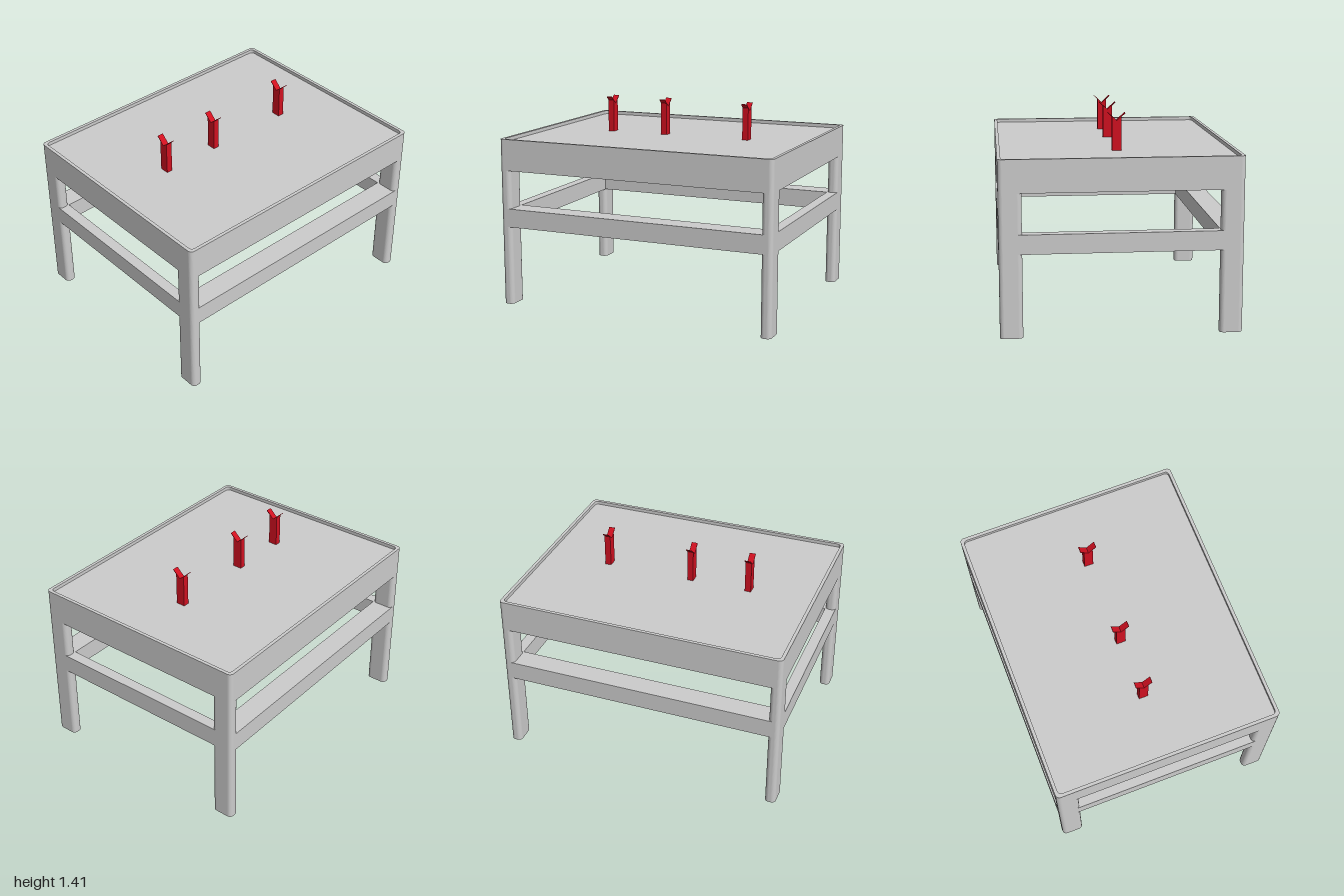
import * as THREE from 'three';

const W = 2, D = 1.6;             // outer footprint
const LEG_X = 0.075, LEG_Z = 0.152;
const R = 0.03;                   // corner radius shared by legs, rails and top

const grey = new THREE.MeshStandardMaterial({ color: 0xcccccc });
const red = new THREE.MeshStandardMaterial({ color: 0xd01020 });

// Rounded rectangle centred on the origin
function roundedRect(w, d, r, Type = THREE.Shape) {
  const s = new Type(), x = w / 2, y = d / 2;
  s.moveTo(x, -y + r);
  s.lineTo(x, y - r).absarc(x - r, y - r, r, 0, Math.PI / 2);
  s.lineTo(-x + r, y).absarc(-x + r, y - r, r, Math.PI / 2, Math.PI);
  s.lineTo(-x, -y + r).absarc(-x + r, -y + r, r, Math.PI, Math.PI * 1.5);
  s.lineTo(x - r, -y).absarc(x - r, -y + r, r, Math.PI * 1.5, Math.PI * 2);
  return s;
}

// Plan outline raised from y0 to y1
function slab(name, shape, y0, y1) {
  const g = new THREE.ExtrudeGeometry(shape, { depth: y1 - y0, bevelEnabled: false, curveSegments: 8 });
  g.rotateX(-Math.PI / 2);
  g.translate(0, y0, 0);
  const m = new THREE.Mesh(g, grey);
  m.name = name;
  return m;
}

// Upright post with a notched head holding two thin flared plates
function createHolder(x) {
  const g = new THREE.Group();
  g.name = 'holder';
  const width = 0.043, y0 = 1.155, yV = 1.355;
  const extrude = (points) => {
    const geo = new THREE.ExtrudeGeometry(
      new THREE.Shape(points.map(([a, b]) => new THREE.Vector2(a, b))),
      { depth: width, bevelEnabled: false });
    geo.translate(0, 0, -width / 2);
    geo.rotateY(-Math.PI / 2);    // profile x becomes z
    return geo;
  };
  const post = new THREE.Mesh(extrude(
    [[-0.032, y0], [0.032, y0], [0.032, yV + 0.03], [0, yV], [-0.032, yV + 0.03]]), red);
  post.name = 'holderPost';
  const plates = new THREE.Mesh(extrude(
    [[0, yV - 0.003], [0.058, yV + 0.052], [0.056, yV + 0.056], [0, yV + 0.003],
      [-0.056, yV + 0.056], [-0.058, yV + 0.052]]), red);
  plates.name = 'holderFork';
  g.add(post, plates);
  g.position.set(x, 0, -0.01);
  return g;
}

export function createModel() {
  const model = new THREE.Group();
  model.name = 'table';

  // Thick top with a shallow tray rim
  model.add(slab('tableTop', roundedRect(W, D, R), 0.96, 1.155));
  const rim = roundedRect(W, D, R);
  rim.holes.push(roundedRect(W - 0.046, D - 0.046, 0.025, THREE.Path));
  model.add(slab('topRim', rim, 1.155, 1.18));

  // Lower rail frame
  const rails = roundedRect(W, D, R);
  const hx = W / 2 - LEG_X, hz = D / 2 - LEG_Z;
  rails.holes.push(new THREE.Path([[-hx, -hz], [-hx, hz], [hx, hz], [hx, -hz]]
    .map(([a, b]) => new THREE.Vector2(a, b))));
  model.add(slab('lowerRails', rails, 0.56, 0.69));

  // Four rounded legs
  for (const sx of [-1, 1]) for (const sz of [-1, 1]) {
    const leg = slab('leg', roundedRect(LEG_X, LEG_Z, R), 0, 0.96);
    leg.position.set(sx * (W - LEG_X) / 2, 0, sz * (D - LEG_Z) / 2);
    model.add(leg);
  }

  // Red holders along the centre line
  for (const x of [-0.525, -0.103, 0.52]) model.add(createHolder(x));

  return model;
}
